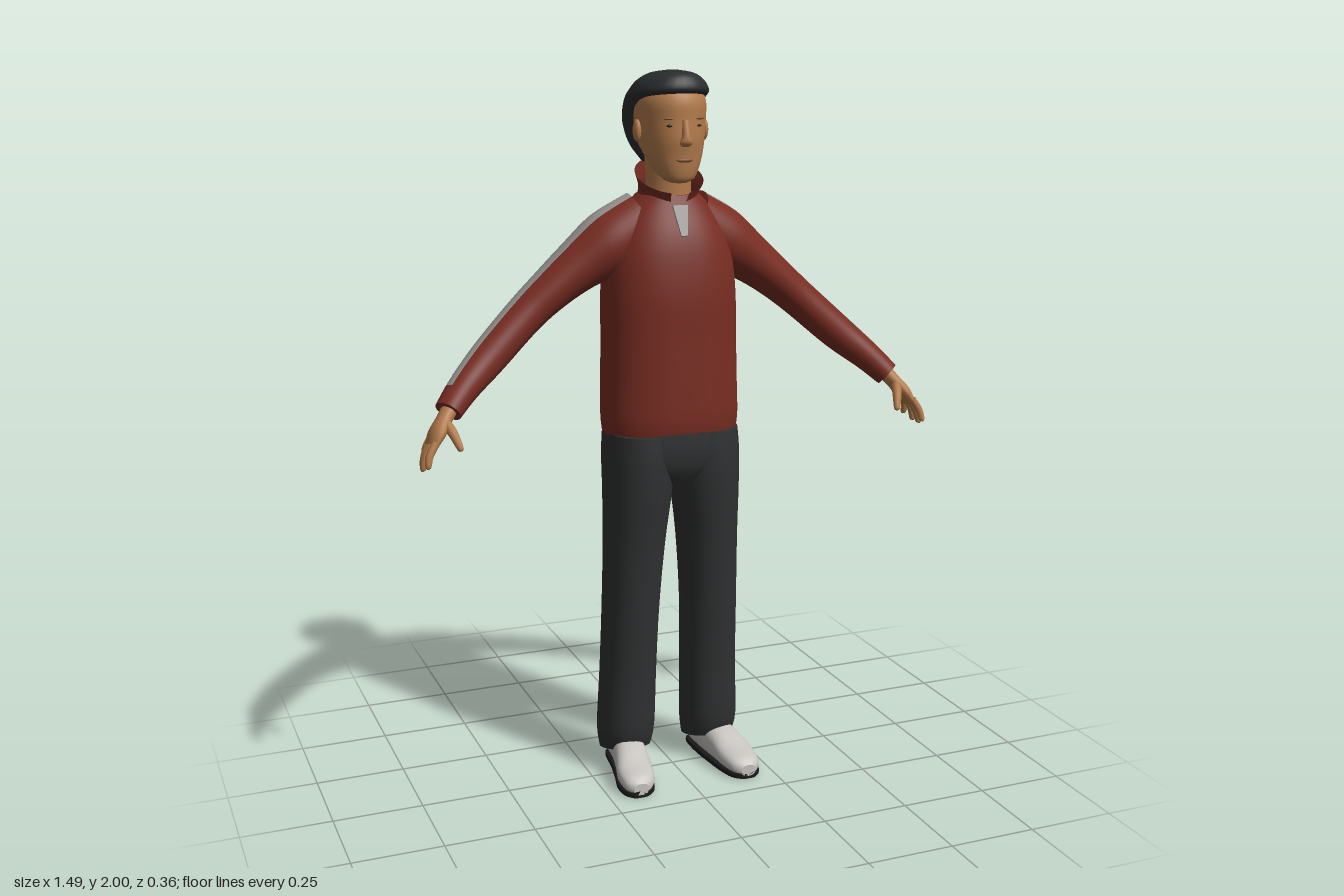
import * as THREE from 'three';

const material = (name, color, side = THREE.FrontSide) =>
  Object.assign(new THREE.MeshStandardMaterial({ color, side }), { name });

// Smooth interpolation between cross-section rows
function refine(rows, steps) {
  const out = [];
  const at = i => rows[Math.max(0, Math.min(rows.length - 1, i))];
  for (let i = 0; i < rows.length - 1; i++) {
    const [a, b, c, d] = [at(i - 1), at(i), at(i + 1), at(i + 2)];
    for (let s = 0; s < steps; s++) {
      const t = s / steps;
      out.push(b.map((_, k) => b[k] + 0.5 * t * (c[k] - a[k] +
        t * (2 * a[k] - 5 * b[k] + 4 * c[k] - d[k] + t * (3 * (b[k] - c[k]) + d[k] - a[k])))));
    }
  }
  out.push(rows[rows.length - 1]);
  return out;
}

// Skin over cross-sections [x, y, z, radiusU, radiusV, tilt]; dir fixes the section
// plane, hint sets the U axis, power squares the outline, paint picks a second colour.
function loft(rows, { dir, hint = [1, 0, 0], n = 32, steps = 4, power = 2, start = 0,
  sweep = Math.PI * 2, paint = () => false } = {}) {
  const R = refine(rows, steps), pos = [], lists = [[], []];
  const full = sweep > 6.28, m = full ? n : n + 1;
  const P = R.map(r => new THREE.Vector3(r[0], r[1], r[2]));
  const H = new THREE.Vector3(...hint);
  R.forEach((r, i) => {
    const d = dir ? new THREE.Vector3(...dir)
      : P[Math.min(i + 1, P.length - 1)].clone().sub(P[Math.max(i - 1, 0)]).normalize();
    const u = H.clone().addScaledVector(d, -H.dot(d)).normalize();
    const v = d.clone().cross(u);
    for (let j = 0; j < m; j++) {
      const a = start + sweep * j / n, c = Math.cos(a), s = Math.sin(a);
      const p = P[i].clone()
        .addScaledVector(u, r[3] * Math.sign(c) * Math.abs(c) ** (2 / power))
        .addScaledVector(v, r[4] * Math.sign(s) * Math.abs(s) ** (2 / power));
      p.y += (r[5] || 0) * (p.z - r[2]);
      pos.push(p.x, p.y, p.z);
    }
  });
  for (let i = 0; i < R.length - 1; i++) for (let j = 0; j < n; j++) {
    const a = i * m + j, b = i * m + (j + 1) % m;
    lists[paint(i, j) ? 1 : 0].push(a, b, b + m, a, b + m, a + m);
  }
  if (full) for (const end of [0, R.length - 1]) {
    const base = pos.length / 3, from = end * m * 3;
    pos.push(...pos.slice(from, from + m * 3), P[end].x, P[end].y, P[end].z);
    for (let j = 0; j < m; j++) {
      const a = base + j, b = base + (j + 1) % m;
      lists[0].push(...(end ? [a, b, base + m] : [b, a, base + m]));
    }
  }
  const g = new THREE.BufferGeometry();
  g.setAttribute('position', new THREE.Float32BufferAttribute(pos, 3));
  g.setIndex([...lists[0], ...lists[1]]);
  if (lists[1].length) {
    g.addGroup(0, lists[0].length, 0);
    g.addGroup(lists[0].length, lists[1].length, 1);
  }
  g.computeVertexNormals();
  return g;
}

// Mirror a geometry across x = 0, keeping its faces outward
function mirrored(geometry) {
  const g = geometry.clone().scale(-1, 1, 1), ix = g.index.array;
  for (let i = 0; i < ix.length; i += 3) [ix[i], ix[i + 1]] = [ix[i + 1], ix[i]];
  g.computeVertexNormals();
  return g;
}

export function createModel() {
  const model = new THREE.Group();
  model.name = 'standingMan';
  const skin = material('skin', 0xb47c4c), shade = material('lips and brows', 0x85573a);
  const hair = material('hair', 0x2b2c2e), dark = material('dark eyes and soles', 0x1c1b1b);
  const red = material('jacket red', 0x782d22, THREE.DoubleSide);
  const grey = material('stripe grey', 0x9b9894);
  const black = material('trousers charcoal', 0x303132);
  const white = material('shoe white', 0xc6c3bf);

  const add = (name, geometry, mat) => {
    const mesh = new THREE.Mesh(geometry, mat);
    mesh.name = name;
    model.add(mesh);
    return mesh;
  };
  const pair = (name, geometry, mat) => {
    add('left' + name, geometry, mat);
    add('right' + name, mirrored(geometry), mat);
  };
  const up = { dir: [0, 1, 0] };
  const blob = (x, y, z, rx, ry, rz) =>
    new THREE.SphereGeometry(1, 16, 10).scale(rx, ry, rz).translate(x, y, z);

  // Jacket body, standing collar and pale zip flap
  add('jacketBody', loft([
    [0, 1.012, -0.025, 0.191, 0.134], [0, 1.06, -0.025, 0.195, 0.142],
    [0, 1.15, -0.028, 0.193, 0.145], [0, 1.28, -0.03, 0.19, 0.145],
    [0, 1.4, -0.033, 0.188, 0.147], [0, 1.5, -0.036, 0.178, 0.138],
    [0, 1.57, -0.038, 0.155, 0.122], [0, 1.63, -0.04, 0.122, 0.098],
    [0, 1.67, -0.038, 0.085, 0.078]], { ...up, n: 48, power: 2.35 }), red);
  add('collar', loft([
    [0, 1.64, -0.036, 0.088, 0.084, -0.35], [0, 1.68, -0.033, 0.081, 0.08, -0.42],
    [0, 1.72, -0.024, 0.095, 0.087, -0.5]],
  { ...up, start: 1.5 * Math.PI + 0.28, sweep: 2 * Math.PI - 0.56 }), red);
  const flapShape = new THREE.Shape([[-0.009, 0], [0.009, 0], [0.022, 0.085], [-0.022, 0.085]]
    .map(p => new THREE.Vector2(...p)));
  const flap = add('zipFlap', new THREE.ExtrudeGeometry(flapShape,
    { depth: 0.006, bevelEnabled: false }), grey);
  flap.position.set(0, 1.565, 0.085);
  flap.rotation.x = -0.38;

  // Sleeves with a stripe along the top
  pair('Sleeve', loft([
    [0.065, 1.60, -0.05, 0.085, 0.085], [0.16, 1.54, -0.06, 0.09, 0.1],
    [0.25, 1.482, -0.062, 0.071, 0.085], [0.33, 1.422, -0.06, 0.059, 0.074],
    [0.41, 1.355, -0.052, 0.053, 0.065], [0.52, 1.255, -0.02, 0.05, 0.056],
    [0.6, 1.185, 0.018, 0.042, 0.048], [0.652, 1.132, 0.05, 0.036, 0.042]],
  { hint: [0.6, 0.8, 0], n: 36, paint: (i, j) => i < 25 && (j < 2 || j > 33) }), [red, grey]);

  // Hands: palm, four fingers and thumb
  pair('Palm', loft([
    [0.645, 1.14, 0.047, 0.022, 0.026], [0.668, 1.112, 0.062, 0.02, 0.029],
    [0.69, 1.082, 0.076, 0.02, 0.042], [0.708, 1.052, 0.084, 0.013, 0.04]],
  { hint: [0.7, 0.5, 0], n: 20 }), skin);
  const tips = [[0.715, 1.008, 0.043], [0.73, 0.993, 0.07], [0.735, 0.99, 0.097], [0.728, 1.002, 0.128]];
  tips.forEach(([x, y, z], i) => {
    const bz = 0.054 + i * 0.02;
    pair('Finger' + (i + 1), loft([
      [0.702, 1.066, bz, 0.011, 0.011], [(x + 0.716) / 2, (y + 1.066) / 2, (z + bz) / 2, 0.0105, 0.0105],
      [x, y + 0.005, z, 0.008, 0.008], [x, y, z, 0.003, 0.003]], { n: 10, steps: 3 }), skin);
  });
  pair('Thumb', loft([
    [0.668, 1.11, 0.075, 0.013, 0.016], [0.655, 1.085, 0.108, 0.013, 0.014],
    [0.643, 1.05, 0.132, 0.009, 0.009], [0.641, 1.043, 0.136, 0.003, 0.003]], { n: 10 }), skin);

  // Trousers
  add('trouserSeat', loft([
    [0, 0.875, -0.014, 0.1, 0.09], [0, 0.92, -0.015, 0.175, 0.118],
    [0, 0.97, -0.017, 0.19, 0.13], [0, 1.03, -0.02, 0.188, 0.132]], { ...up, power: 2.3 }), black);
  pair('TrouserLeg', loft([
    [0.13, 0.062, -0.052, 0.072, 0.082, -0.22], [0.13, 0.13, -0.045, 0.081, 0.092, -0.1],
    [0.125, 0.3, -0.037, 0.079, 0.092, 0], [0.12, 0.5, -0.025, 0.079, 0.096, 0],
    [0.111, 0.7, -0.017, 0.084, 0.106, 0], [0.102, 0.85, -0.014, 0.093, 0.12, 0],
    [0.098, 0.95, -0.017, 0.097, 0.128, 0], [0.096, 1.02, -0.02, 0.094, 0.128, 0]].map(
    ([x, y, z, ru, rv, tilt]) => [x, y, z, ru, rv, -tilt]),
  { ...up, power: 2.2 }), black);

  // Shoes with dark soles, toes turned slightly out
  const shoeRows = [[0.128, -0.128, 0.026, 0.04], [0.13, -0.11, 0.04, 0.05], [0.135, -0.03, 0.046, 0.056],
    [0.147, 0.05, 0.05, 0.048], [0.158, 0.11, 0.053, 0.034], [0.163, 0.16, 0.044, 0.026],
    [0.165, 0.182, 0.022, 0.017]];
  pair('Shoe', loft(shoeRows.map(([x, z, r, h]) => [x, h + 0.008, z, r, h]),
    { dir: [0, 0, 1], n: 24, power: 2.4 }), white);
  pair('Sole', loft(shoeRows.map(([x, z, r]) => [x, 0.01, z, r + 0.001, 0.01]),
    { dir: [0, 0, 1], n: 24, power: 5 }), dark);

  // Neck, head and ears
  add('neck', loft([[0, 1.6, -0.035, 0.072, 0.065], [0, 1.69, -0.03, 0.062, 0.062],
    [0, 1.79, -0.03, 0.066, 0.07]], up), skin);
  add('head', loft([
    [0, 1.705, 0.045, 0.02, 0.022], [0, 1.715, 0.042, 0.042, 0.038], [0, 1.74, 0.025, 0.06, 0.062],
    [0, 1.78, 0.003, 0.077, 0.089], [0, 1.82, -0.018, 0.087, 0.116], [0, 1.87, -0.03, 0.094, 0.126],
    [0, 1.92, -0.03, 0.095, 0.124], [0, 1.96, -0.03, 0.075, 0.1], [0, 1.985, -0.03, 0.03, 0.04]],
  { ...up, power: 2.15 }), skin);
  pair('Ear', blob(0.097, 1.842, -0.012, 0.011, 0.03, 0.018), skin);

  // Facial features
  add('nose', loft([
    [0, 1.802, 0.094, 0.008, 0.006], [0, 1.812, 0.099, 0.018, 0.013],
    [0, 1.83, 0.099, 0.012, 0.014], [0, 1.872, 0.092, 0.009, 0.008]], { ...up, n: 16 }), skin);
  add('lips', blob(0, 1.767, 0.09, 0.024, 0.006, 0.006), shade);
  pair('Eye', blob(0.037, 1.857, 0.084, 0.013, 0.004, 0.005), dark);
  pair('Brow', blob(0.038, 1.876, 0.084, 0.02, 0.004, 0.006), shade);

  // Short hair: covers the back of the head, then sweeps forward over the brow
  const hairRows = [[1.755, 0.058, -0.112, -0.03], [1.8, 0.088, -0.142, -0.03],
    [1.85, 0.104, -0.158, -0.025], [1.89, 0.109, -0.16, -0.005], [1.925, 0.108, -0.156, 0.045],
    [1.945, 0.104, -0.147, 0.094], [1.972, 0.087, -0.118, 0.09], [1.992, 0.055, -0.075, 0.07],
    [2.0, 0.012, -0.015, 0.025]];
  add('hair', loft(hairRows.map(([y, rx, back, front]) =>
    [0, y, (back + front) / 2, rx, (front - back) / 2]), { ...up, power: 2.2 }), hair);

  return model;
}
